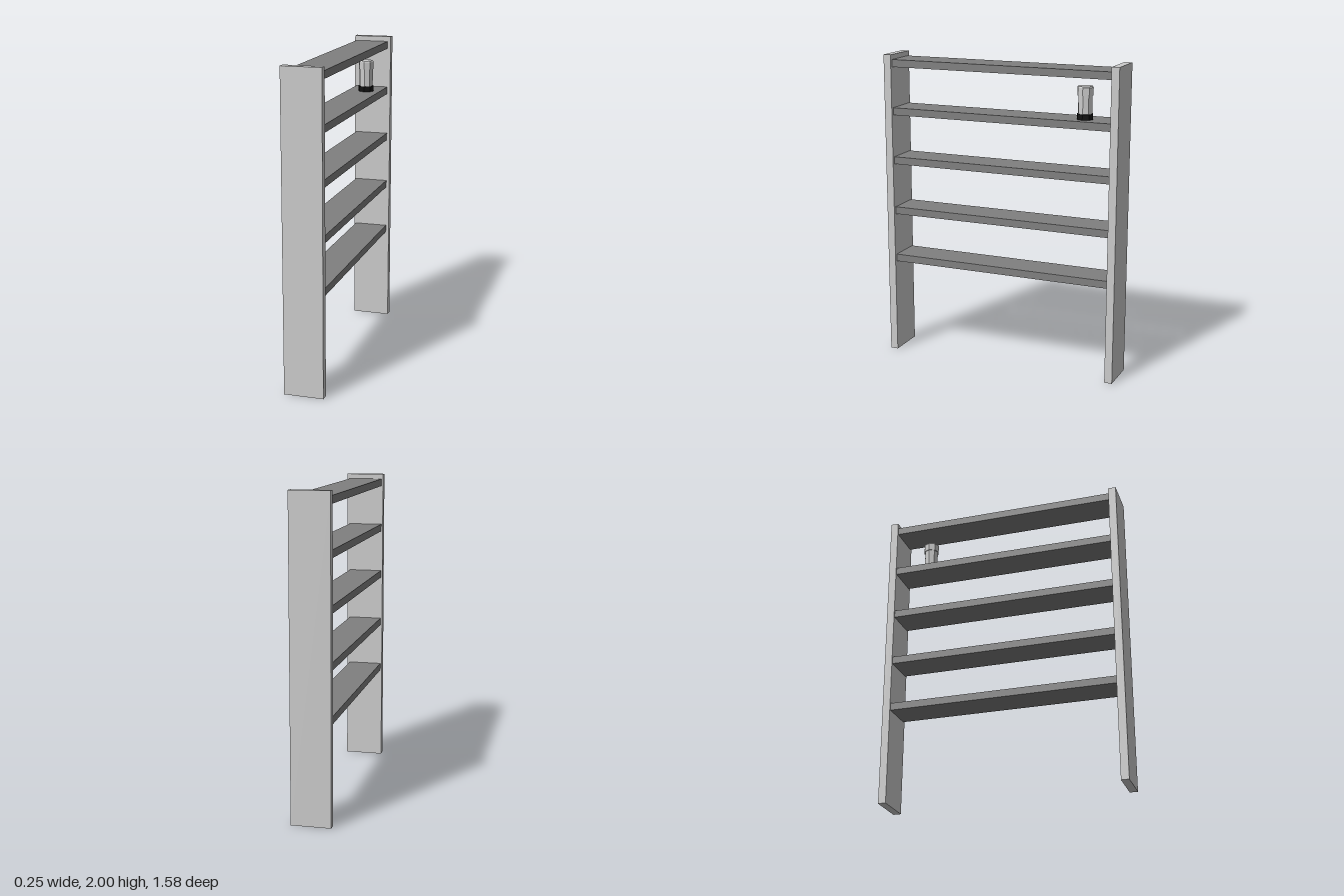
import * as THREE from 'three';

const grey = new THREE.MeshStandardMaterial({ color: 0xcccccc, flatShading: true });
const darkGrey = new THREE.MeshStandardMaterial({ color: 0x808080, flatShading: true });
const black = new THREE.MeshStandardMaterial({ color: 0x111111, flatShading: true });

function addMesh(parent, name, geometry, material, x, y, z) {
  const mesh = new THREE.Mesh(geometry, material);
  mesh.name = name;
  mesh.position.set(x, y, z);
  parent.add(mesh);
}

// Eight-sided cylinder standing between two heights
function addRing(parent, name, rTop, rBottom, y0, y1, material) {
  addMesh(parent, name, new THREE.CylinderGeometry(rTop, rBottom, y1 - y0, 8), material, 0, (y0 + y1) / 2, 0);
}

export function createModel() {
  const group = new THREE.Group();
  group.name = 'shelfUnit';

  // Upright side panels at both ends
  for (const side of [-1, 1]) {
    addMesh(group, side > 0 ? 'frontPanel' : 'backPanel',
      new THREE.BoxGeometry(0.25, 2, 0.05), grey, 0, 1, side * 0.765);
  }

  // Shelf boards, slightly narrower than the panels
  [0.643, 0.97, 1.308, 1.632, 1.944].forEach((y, i) => {
    addMesh(group, `shelf${i + 1}`, new THREE.BoxGeometry(0.22, 0.048, 1.48), darkGrey, -0.005, y, 0);
  });

  // Small jar on the second shelf from the top
  const jar = new THREE.Group();
  jar.name = 'jar';
  jar.position.set(0.01, 1.656, -0.54);
  addRing(jar, 'jarBase', 0.052, 0.052, 0, 0.035, black);
  addRing(jar, 'jarBody', 0.046, 0.046, 0.035, 0.15, grey);
  addRing(jar, 'jarLid', 0.052, 0.052, 0.15, 0.198, grey);
  addRing(jar, 'jarLidBevel', 0.047, 0.052, 0.198, 0.205, grey);
  group.add(jar);

  return group;
}
